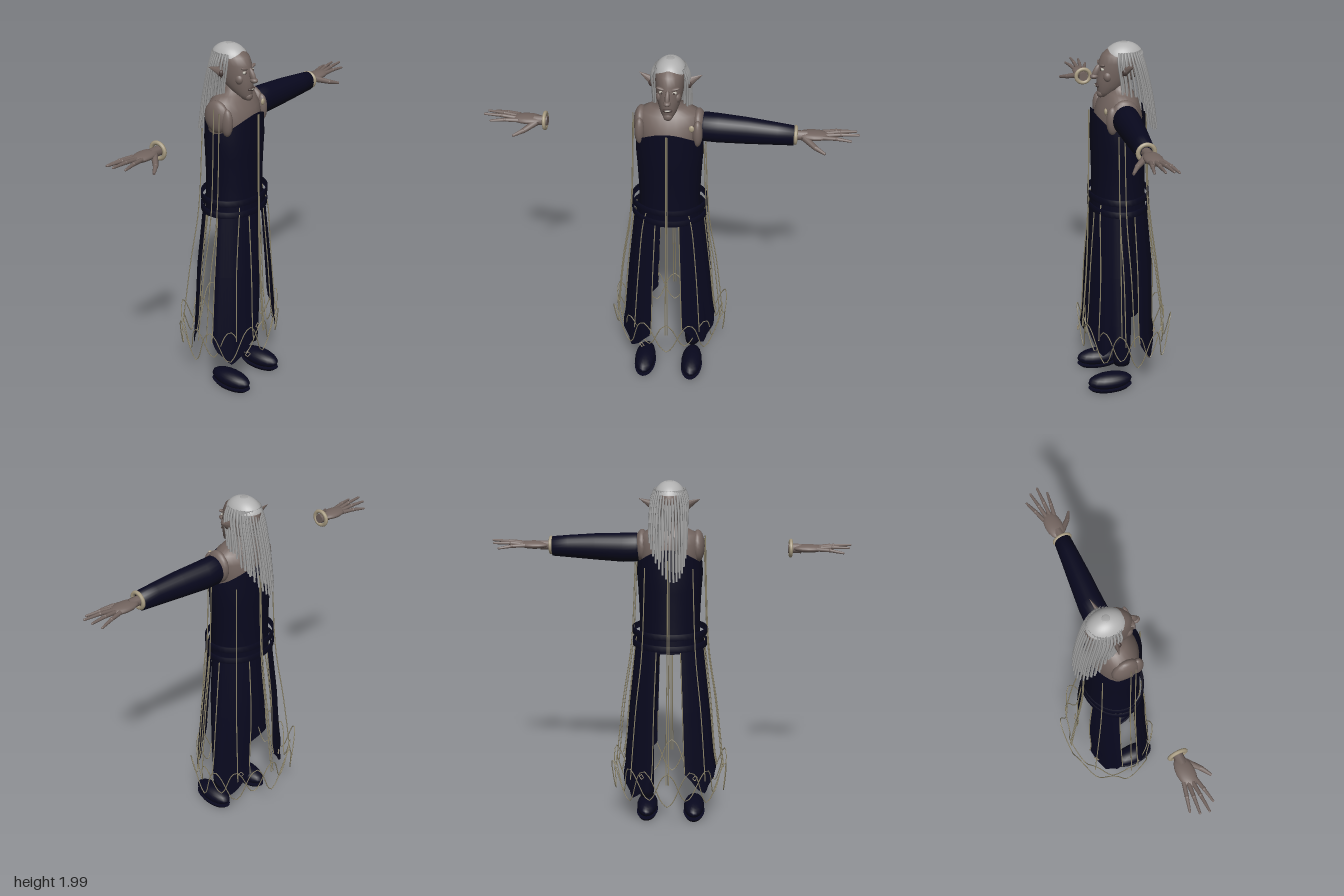
import * as THREE from 'three';

const mat = (name, color, side = THREE.FrontSide) => {
  const m = new THREE.MeshStandardMaterial({ color, side });
  m.name = name;
  return m;
};
const V = (x, y, z) => new THREE.Vector3(x, y, z);

// Skin stacked ellipses [y, cx, cz, rx, rz], listed from bottom to top; adjust(p, angle, row) may move points.
function loft(rows, { seg = 24, from = 0, to = Math.PI * 2, adjust } = {}) {
  const closed = to - from > 6.28, cols = closed ? seg : seg + 1, pos = [], idx = [];
  rows.forEach(([y, cx, cz, rx, rz], i) => {
    for (let j = 0; j < cols; j++) {
      const t = from + (to - from) * j / seg;
      const p = V(cx + rx * Math.sin(t), y, cz + rz * Math.cos(t));
      if (adjust) adjust(p, t, i);
      pos.push(p.x, p.y, p.z);
      if (i && j < seg) {
        const a = (i - 1) * cols + j, b = (i - 1) * cols + (j + 1) % cols;
        idx.push(a, b, a + cols, b, b + cols, a + cols);
      }
    }
  });
  const g = new THREE.BufferGeometry();
  g.setAttribute('position', new THREE.Float32BufferAttribute(pos, 3));
  g.setIndex(idx);
  g.computeVertexNormals();
  return g;
}

export function createModel() {
  const root = new THREE.Group();
  const skin = mat('greySkin', 0x72645f), darkSkin = mat('darkSkin', 0x4a3d3a);
  const cloth = mat('navyCloth', 0x08081e, THREE.DoubleSide);
  const trim = mat('bronzeTrim', 0x8e866c), cuffMat = mat('paleCuff', 0xa89c82);
  const hairMat = mat('greyHair', 0xa2a2a2), capMat = mat('silverCap', 0xb0b0b0);
  const eyeMat = mat('paleEye', 0xb8b5aa);

  const add = (name, geo, m, parent = root) => {
    const mesh = new THREE.Mesh(geo, m);
    mesh.name = name;
    parent.add(mesh);
    return mesh;
  };
  const group = (name) => {
    const g = new THREE.Group();
    g.name = name;
    root.add(g);
    return g;
  };
  const blob = (name, m, c, r, parent) => {
    const b = add(name, new THREE.SphereGeometry(1, 16, 12), m, parent);
    b.position.set(...c);
    b.scale.set(...r);
    return b;
  };
  const tube = (name, pts, r, m, parent, n = 16, closed = false) =>
    add(name, new THREE.TubeGeometry(new THREE.CatmullRomCurve3(pts, closed), n, r, 5, closed), m, parent);
  // Tapered rod between two points
  const rod = (name, a, b, r0, r1, m, parent) => {
    const d = b.clone().sub(a);
    const c = add(name, new THREE.CylinderGeometry(r1, r0, d.length(), 8), m, parent);
    c.position.copy(a).addScaledVector(d, 0.5);
    c.quaternion.setFromUnitVectors(V(0, 1, 0), d.normalize());
    return c;
  };

  // Chest, neck and bare shoulders
  add('chest', loft([[1.48, 0, .03, .14, .12], [1.6, 0, .03, .165, .128], [1.67, 0, .025, .168, .112],
    [1.715, 0, .02, .152, .088], [1.74, 0, .02, .1, .07], [1.76, 0, .02, .055, .055], [1.83, 0, .02, .048, .05]]), skin);
  for (const s of [-1, 1]) {
    blob('shoulder', skin, [s * .148, 1.645, .03], [.038, .088, .075]);
    blob('shoulderFold', skin, [s * .148, 1.625, .095], [.027, .075, .034]);
  }

  // Shirt with a curved neckline
  add('shirt', loft([[1.08, 0, .03, .168, .148], [1.2, 0, .03, .163, .145], [1.3, 0, .03, .166, .143],
    [1.42, 0, .03, .172, .145], [1.5, 0, .03, .178, .147], [1.56, 0, .03, .174, .143]],
  { seg: 32, adjust: (p, t, i) => { if (i === 5) p.y += .095 * Math.cos(t) ** 2; } }), cloth);
  blob('clasp', cuffMat, [.12, 1.67, .125], [.014, .018, .008]);

  // Twin belt bands standing off the waist
  for (const y of [1.095, 1.162])
    add('belt', loft([[y, 0, .03, .196, .158], [y, 0, .03, .205, .165], [y + .034, 0, .03, .205, .165],
      [y + .034, 0, .03, .196, .158]], { seg: 36 }), cloth);

  // Skirt panels with pointed hems and edge trim
  const skirt = group('skirt');
  for (const [from, to, rz, low] of [[.33, 1.34, .215, .27], [-1.34, -.33, .215, .21],
    [1.85, 2.8, .195, .21], [-2.8, -1.85, .195, .25]]) {
    const mid = (from + to) / 2, half = (to - from) / 2;
    const rows = [[low, 0, .03, .275, rz], [low + .2, 0, .03, .262, rz - .01], [.75, 0, .03, .232, .185],
      [1.12, 0, .03, .19, .152]];
    add('skirtPanel', loft(rows, { seg: 12, from, to, adjust: (p, t, i) => {
      if (i === 0) p.y += .14 * (Math.abs(t - mid) / half) ** 1.3;
      p.x *= 1 + .025 * Math.cos((t - mid) / half * 9) * (3 - i) / 3;
    } }), cloth, skirt);
    for (const t of [from, to]) tube('panelTrim', rows.map(([y, , cz, rx, z], i) =>
      V(rx * 1.015 * Math.sin(t), i ? y : y + .14, cz + z * 1.015 * Math.cos(t))), .0032, trim, skirt);
  }

  // Trouser leg and shoes
  add('leg', loft([[.16, .135, .045, 0, 0], [.16, .135, .045, .038, .044], [.2, .135, .045, .043, .05],
    [.5, .14, .045, .048, .052], [.8, .13, .045, .055, .06], [1.12, .11, .035, .06, .07]]), cloth);
  for (const s of [-1, 1]) {
    blob('shoe', cloth, [s * .138, .06, .115], [.06, .048, .128]);
    const sole = add('sole', new THREE.CylinderGeometry(1, .85, .018, 24), cloth);
    sole.position.set(s * .138, .016, .115);
    sole.scale.set(.062, 1, .128);
  }

  // Sleeve, lofted upright then laid along +x
  const sleeve = loft([[.155, -1.635, .03, .06, .055], [.18, -1.635, .032, .078, .07], [.25, -1.632, .034, .078, .068],
    [.4, -1.632, .045, .071, .06], [.55, -1.63, .055, .06, .05], [.635, -1.628, .06, .053, .045],
    [.64, -1.628, .06, 0, 0]]);
  add('sleeve', sleeve.rotateZ(-Math.PI / 2), cloth);

  // Hands with cuffs; the right one stands free
  for (const s of [1, -1]) {
    const hand = group(s > 0 ? 'leftHand' : 'rightHand');
    const P = (x, y, z) => V(s * x, y, z);
    const cuff = add('cuff', new THREE.TorusGeometry(.036, .01, 8, 24), cuffMat, hand);
    cuff.rotation.y = Math.PI / 2;
    cuff.position.set(s * .643, 1.633, .062);
    cuff.scale.set(1.15, 1.1, 1);
    rod('wrist', P(.63, 1.632, .062), P(.7, 1.632, .06), .026, .026, skin, hand);
    blob('palm', skin, [s * .735, 1.635, .056], [.085, .021, .046], hand);
    for (const [z0, x1, y1, z1] of [[.024, .915, 1.628, -.014], [.044, .945, 1.648, .022],
      [.062, .957, 1.654, .066], [.082, .918, 1.64, .106]]) {
      const knuckle = P(.78, 1.637, z0), tip = P(x1, y1, z1), mid = knuckle.clone().lerp(tip, .5);
      mid.y += .004;
      rod('finger', knuckle, mid, .0115, .0095, skin, hand);
      rod('finger', mid, tip, .0095, .006, skin, hand);
      blob('knuckle', skin, mid.toArray(), [.0105, .0105, .0105], hand);
      blob('fingertip', skin, tip.toArray(), [.007, .006, .006], hand);
    }
    rod('thumb', P(.69, 1.628, .08), P(.745, 1.608, .135), .018, .013, skin, hand);
    rod('thumb', P(.745, 1.608, .135), P(.795, 1.594, .168), .013, .007, skin, hand);
    blob('thumbJoint', skin, [s * .745, 1.608, .135], [.013, .013, .013], hand);
  }

  // Head and face
  const head = group('head');
  add('skull', loft([[1.712, 0, .11, 0, 0], [1.718, 0, .108, .02, .022], [1.745, 0, .085, .04, .053],
    [1.78, 0, .058, .055, .083], [1.82, 0, .035, .066, .108], [1.86, 0, .018, .072, .116], [1.9, 0, .01, .075, .12],
    [1.94, 0, .003, .073, .108], [1.97, 0, 0, .052, .075], [1.985, 0, 0, 0, 0]]), skin, head);
  const nose = blob('nose', skin, [0, 1.85, .143], [.013, .042, .018], head);
  nose.rotation.x = -.45;
  blob('noseTip', skin, [0, 1.826, .154], [.019, .014, .023], head);
  blob('lips', darkSkin, [0, 1.778, .14], [.026, .01, .011], head);
  blob('teeth', eyeMat, [0, 1.779, .148], [.015, .0035, .004], head);
  blob('chin', skin, [0, 1.735, .122], [.024, .024, .02], head);
  for (const s of [-1, 1]) {
    blob('eye', eyeMat, [s * .031, 1.868, .118], [.014, .008, .009], head);
    blob('pupil', darkSkin, [s * .031, 1.868, .126], [.005, .006, .003], head);
    const brow = blob('brow', skin, [s * .032, 1.888, .118], [.027, .008, .012], head);
    brow.rotation.z = s * .25;
    blob('cheek', skin, [s * .042, 1.83, .092], [.021, .028, .024], head);
    const ear = rod('ear', V(s * .066, 1.858, .012), V(s * .16, 1.906, -.012), .034, .001, skin, head);
    ear.scale.z = .55;
    blob('innerEar', darkSkin, [s * .095, 1.862, .018], [.014, .018, .012], head);
  }

  // Skull cap with a small crown disc, and hanging strands of hair in two layers
  const hair = group('hair');
  const cap = add('cap', new THREE.SphereGeometry(1, 28, 12, 0, Math.PI * 2, 0, Math.PI * .4), capMat, hair);
  cap.position.set(0, 1.91, -.004);
  cap.scale.set(.084, .089, .108);
  blob('crown', hairMat, [0, 1.996, -.004], [.02, .004, .022], hair);
  const n = 24;
  for (let layer = 0; layer < 2; layer++) for (let i = 0; i < n; i++) {
    const t = 1.12 + (Math.PI * 2 - 2.24) * (i + layer * .5) / (n - .5);
    const back = Math.max(0, -Math.cos(t)), sx = Math.sin(t), cz = Math.cos(t);
    const wob = Math.sin(i * 12.9 + layer * 5) * .05;
    const end = 1.7 - .16 * back + wob, k = 1 - layer * .14;
    const y = (f) => 1.955 + (end - 1.955) * f;
    tube('strand', [V(.076 * sx, 1.958, .09 * cz), V(.096 * k * sx, y(.2), .114 * k * cz - .004),
      V(.098 * k * sx + wob * .12, y(.6), .118 * k * cz - .02 - .02 * back),
      V(.098 * k * sx + wob * .2, end, .118 * k * cz - .03 - .035 * back)], .0058, hairMat, hair, 9);
  }

  // Open robe outline: scalloped hems and long hanging trims
  const robe = group('robeTrim');
  for (const [rx, rz, phase, amp] of [[.325, .25, 0, .11], [.29, .225, Math.PI / 8, .09]]) {
    const pts = [];
    for (let i = 0; i < 64; i++) {
      const t = i / 64 * Math.PI * 2, w = Math.cos(8 * (t + phase));
      pts.push(V(rx * (1 - .05 * w) * Math.sin(t), .335 - amp * w, -.002 + rz * (1 - .05 * w) * Math.cos(t)));
    }
    tube('hemTrim', pts, .003, trim, robe, 128, true);
  }
  for (const [t, top] of [[.018, 1.65], [-.018, 1.65], [1.3, 1.55], [-1.3, 1.68], [1.5, 1.55], [-1.5, 1.7],
    [.65, 1.15], [-.65, 1.15], [2.4, 1.55], [-2.4, 1.55], [3.12, 1.6], [-3.12, 1.6]]) {
    const c = Math.cos(t), s = Math.sin(t);
    tube('longTrim', [V(.188 * s, top, .03 + .155 * c), V(.215 * s, 1.08, .025 + .172 * c),
      V(.265 * s, .75, .01 + .2 * c), V(.308 * s, .36, .24 * c)], .0032, trim, robe);
  }
  // Small square ornaments near the hem
  for (const [x, y, z, ry] of [[.135, .27, .1, 0], [-.14, .27, .235, -.5], [.15, .36, -.14, 2.5], [-.15, .36, -.14, -2.5]]) {
    const o = add('ornament', new THREE.TorusGeometry(.016, .003, 4, 4), cuffMat, robe);
    o.position.set(x, y, z);
    o.rotation.y = ry;
  }
  return root;
}
